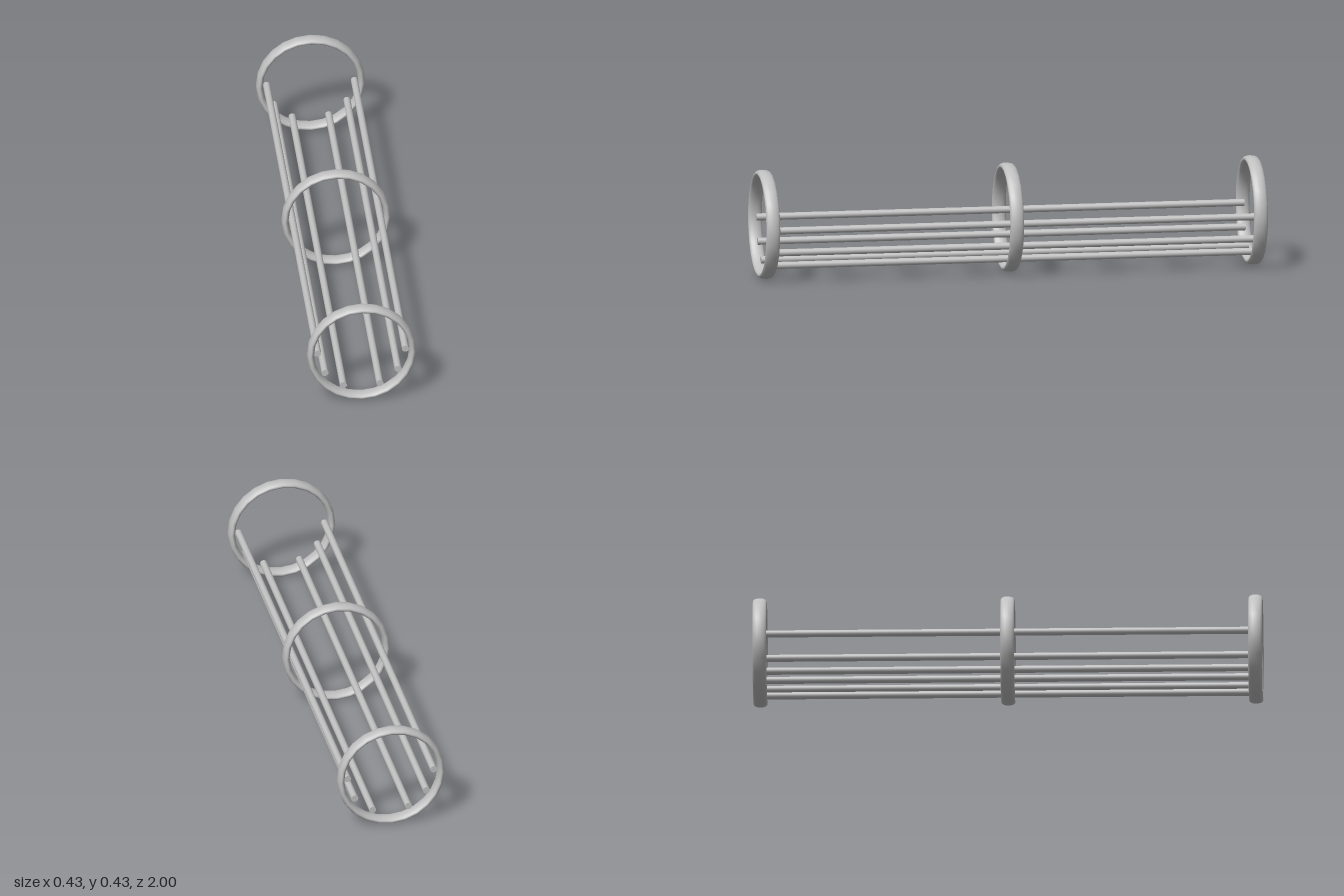
import * as THREE from 'three';

export function createModel() {
  const model = new THREE.Group();
  model.name = 'ringCradle';
  const metal = new THREE.MeshStandardMaterial({ color: 0xc0c0c0 });
  metal.name = 'grey metal';

  const centreY = 0.216; // ring axis height
  const ringZ = 0.9725;  // end ring centres

  // Three hoops with an oval section, twice as wide as thick
  const ringGeometry = new THREE.TorusGeometry(0.2015, 0.0138, 16, 24);
  ringGeometry.scale(1, 1, 2);
  const rings = { frontRing: ringZ, middleRing: 0, backRing: -ringZ };
  for (const [name, z] of Object.entries(rings)) {
    const ring = new THREE.Mesh(ringGeometry, metal);
    ring.name = name;
    ring.position.set(0, centreY, z);
    model.add(ring);
  }

  // Mirrored lengthwise rods inside the lower half of the hoops
  const rodGeometry = new THREE.CylinderGeometry(0.014, 0.014, ringZ * 2, 24);
  rodGeometry.rotateX(Math.PI / 2);
  const rods = [['upper', 0.173, 0.217], ['middle', 0.144, 0.125], ['lower', 0.072, 0.063]];
  for (const [level, x, y] of rods) {
    for (const side of [1, -1]) {
      const rod = new THREE.Mesh(rodGeometry, metal);
      rod.name = level + (side > 0 ? 'LeftRod' : 'RightRod');
      rod.position.set(side * x, y, 0);
      model.add(rod);
    }
  }
  return model;
}
